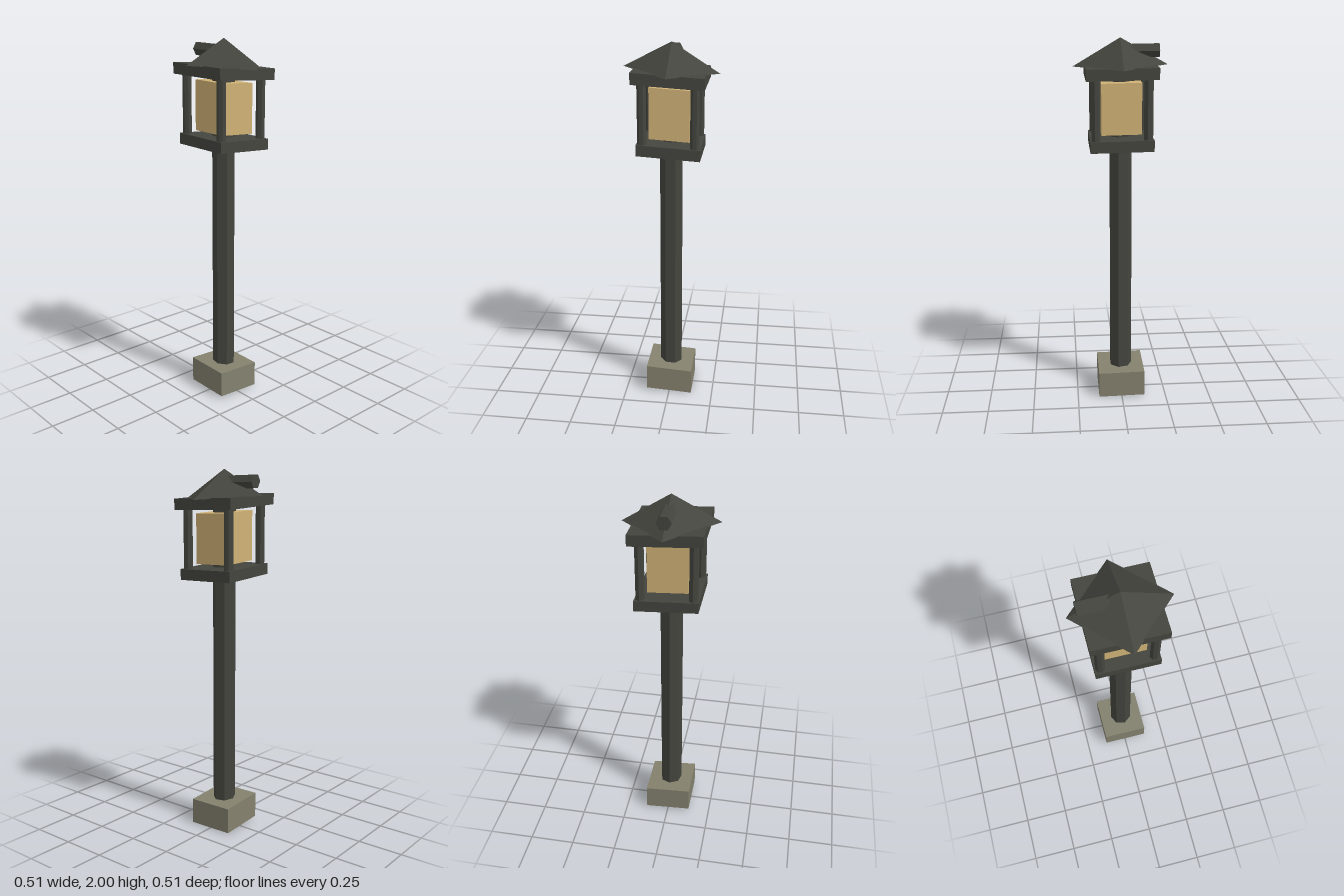
import * as THREE from 'three';

const iron = new THREE.MeshStandardMaterial({ color: 0x44453e });
const stone = new THREE.MeshStandardMaterial({ color: 0x84816e });
const glow = new THREE.MeshStandardMaterial({ color: 0xd0b276 });
iron.name = 'darkIron';
stone.name = 'stone';
glow.name = 'warmGlass';

export function createModel() {
  const model = new THREE.Group();
  model.name = 'lampPost';

  // Place a part, lean its level faces slightly and give it flat facets
  function add(name, geometry, material, x, y, z) {
    const g = geometry.index ? geometry.toNonIndexed() : geometry;
    g.translate(x, y, z);
    const p = g.attributes.position;
    for (let i = 0; i < p.count; i++) {
      p.setY(i, p.getY(i) + 0.06 * p.getZ(i) - 0.02 * p.getX(i));
    }
    g.computeVertexNormals();
    const mesh = new THREE.Mesh(g, material);
    mesh.name = name;
    model.add(mesh);
  }

  // Square block between two heights
  function block(name, width, y0, y1, material) {
    add(name, new THREE.BoxGeometry(width, y1 - y0, width), material, 0, (y0 + y1) / 2, 0);
  }

  // Seven-sided upright with a corner towards -x
  function upright(name, radius, y0, y1, x, z) {
    const g = new THREE.CylinderGeometry(radius, radius, y1 - y0, 7, 1, false, -Math.PI / 2);
    add(name, g, iron, x, (y0 + y1) / 2, z);
  }

  block('footing', 0.258, 0.01, 0.153, stone);
  upright('post', 0.063, 0.1, 1.82, 0, 0);

  // Lantern
  block('lowerPlate', 0.336, 1.427, 1.486, iron);
  block('glass', 0.214, 1.507, 1.777, glow);
  block('upperPlate', 0.378, 1.8, 1.86, iron);
  for (const x of [-1, 1]) {
    for (const z of [-1, 1]) upright('cornerPost', 0.025, 1.46, 1.82, x * 0.138, z * 0.138);
  }

  // Pyramid roof turned corner-on, with a six-sided stub out of its side
  add('roof', new THREE.ConeGeometry(0.253, 0.144, 4), iron, 0, 1.928, 0);
  const stub = new THREE.CylinderGeometry(0.039, 0.039, 0.2, 6);
  stub.rotateZ(Math.PI / 2);
  add('roofStub', stub, iron, -0.107, 1.93, 0);

  return model;
}
